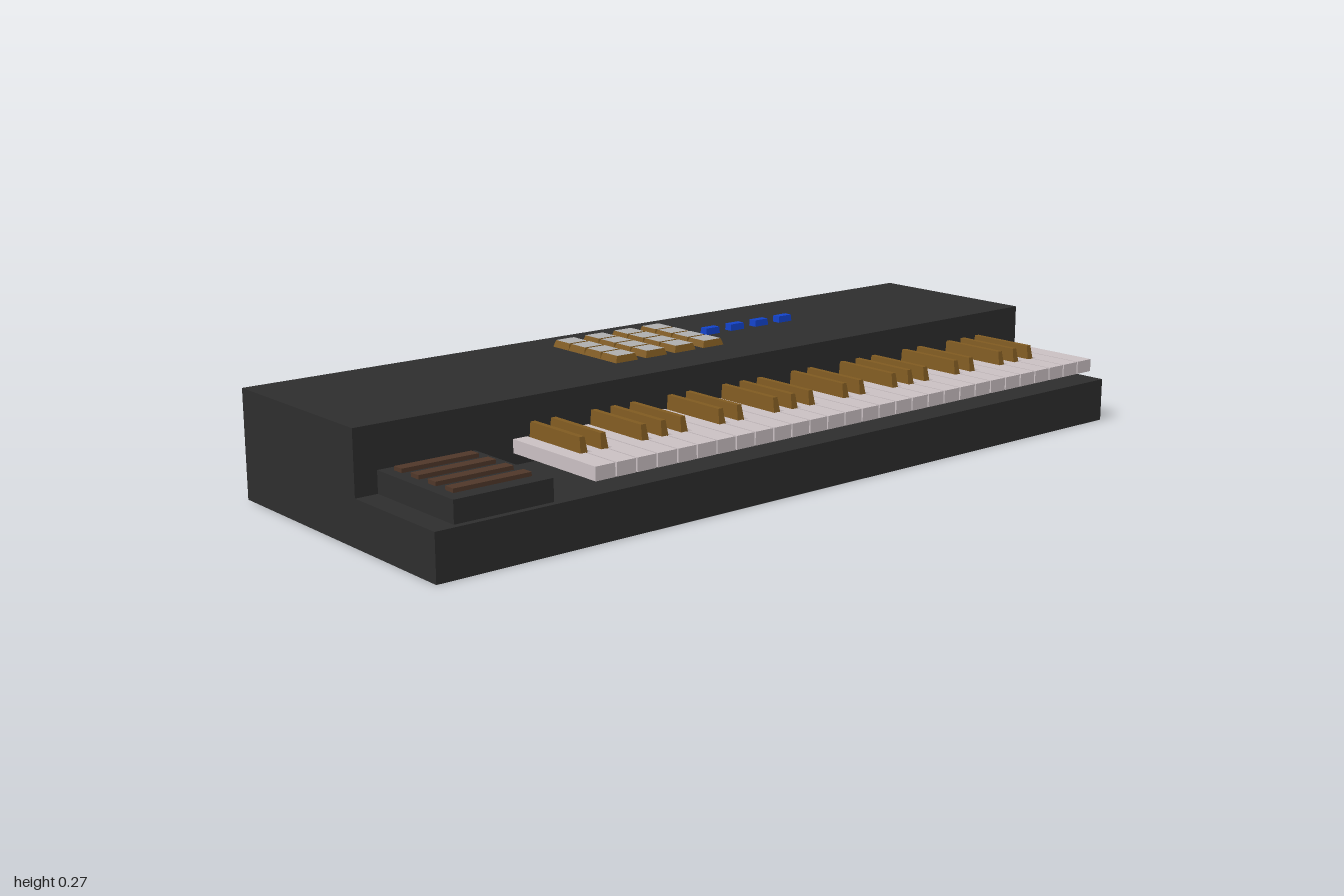
import * as THREE from 'three';

const paint = (name, color) => {
  const m = new THREE.MeshStandardMaterial({ color });
  m.name = name;
  return m;
};

// Box standing on y = 0 whose top is drawn in at the sides, front and back
function taperedBox(w, h, d, side = 0, front = 0, back = 0) {
  const g = new THREE.BoxGeometry(w, h, d).translate(0, h / 2, 0);
  const p = g.attributes.position;
  for (let i = 0; i < p.count; i++) {
    if (p.getY(i) < h / 2) continue;
    p.setX(i, p.getX(i) - Math.sign(p.getX(i)) * side);
    p.setZ(i, p.getZ(i) > 0 ? p.getZ(i) - front : p.getZ(i) + back);
  }
  g.computeVertexNormals();
  return g;
}

const polygon = (pts) => new THREE.Shape(pts.map(([x, y]) => new THREE.Vector2(x, y)));

export function createModel() {
  const root = new THREE.Group();
  root.name = 'keyboard';
  const charcoal = paint('charcoal', 0x2d2d2d);
  const ivory = paint('ivory', 0xc9bfc2);
  const amber = paint('amber brown', 0x7f5a21);
  const rust = paint('dark rust', 0x4f3729);
  const grey = paint('light grey', 0xadadad);
  const blue = paint('blue', 0x1242c8);

  const group = (name) => {
    const g = new THREE.Group();
    g.name = name;
    root.add(g);
    return g;
  };
  const add = (parent, name, geo, mat, x = 0, y = 0, z = 0) => {
    const m = new THREE.Mesh(geo, mat);
    m.name = name;
    m.position.set(x, y, z);
    parent.add(m);
  };

  const STEP = 0.085; // z of the wall behind the keys

  // Stepped case, profile drawn in (-z, y) and swept across x
  const caseGeo = new THREE.ExtrudeGeometry(
    polygon([[-0.378, 0], [0.378, 0], [0.378, 0.252], [-STEP, 0.252], [-STEP, 0.106], [-0.378, 0.106]]),
    { depth: 2, bevelEnabled: false }
  ).translate(0, 0, -1).rotateY(Math.PI / 2);
  add(root, 'case', caseGeo, charcoal);

  // Raised block at the low end with four rust strips
  const block = group('controlBlock');
  add(block, 'block', taperedBox(0.237, 0.05, 0.278), charcoal, -0.828, 0.106, 0.224);
  for (let i = 0; i < 4; i++) {
    add(block, 'strip', taperedBox(0.186, 0.009, 0.028), rust, -0.828, 0.156, 0.123 + i * 0.0625);
  }

  // Keys: four octaves and a final C
  const keys = group('keys');
  const COUNT = 29, START = -0.615, PITCH = 1.572 / COUNT;
  const GAP = 0.002, NOTCH = 0.015, NOTCH_Z = 0.274, FRONT = 0.374;
  const hasSharp = (i) => i >= 0 && i < COUNT - 1 && [0, 1, 3, 4, 5].includes(i % 7);
  const sharpGeo = taperedBox(0.023, 0.061, 0.187, 0.005, 0.012, 0);
  for (let i = 0; i < COUNT; i++) {
    const l = GAP, r = PITCH - GAP;
    const nl = hasSharp(i - 1) ? NOTCH : l;
    const nr = hasSharp(i) ? PITCH - NOTCH : r;
    const outline = [[l, -FRONT], [r, -FRONT], [r, -NOTCH_Z], [nr, -NOTCH_Z], [nr, -STEP], [nl, -STEP], [nl, -NOTCH_Z], [l, -NOTCH_Z]]
      .filter(([x, y], k, a) => k === 0 || x !== a[k - 1][0] || y !== a[k - 1][1]);
    const geo = new THREE.ExtrudeGeometry(polygon(outline), { depth: 0.031, bevelEnabled: false })
      .rotateX(-Math.PI / 2);
    add(keys, 'naturalKey', geo, ivory, START + i * PITCH, 0.133, 0);
    if (hasSharp(i)) add(keys, 'sharpKey', sharpGeo, amber, START + (i + 1) * PITCH, 0.134, STEP + 0.0935);
  }

  // Four columns of four grey-topped buttons with brown sides
  const buttons = group('buttons');
  const buttonGeo = taperedBox(0.064, 0.016, 0.061, 0.006, 0.004, 0.004);
  const buttonMats = [amber, amber, grey, amber, amber, amber];
  for (let c = 0; c < 4; c++) {
    for (let r = 0; r < 4; r++) {
      add(buttons, 'button', buttonGeo, buttonMats, -0.2 + c * 0.087, 0.252, -0.26 + r * 0.061);
    }
  }

  // Row of small blue switches
  const switches = group('switches');
  const switchGeo = taperedBox(0.043, 0.016, 0.023, 0.001, 0.001, 0.001);
  for (let i = 0; i < 4; i++) add(switches, 'switch', switchGeo, blue, 0.155 + i * 0.08, 0.252, -0.168);

  return root;
}
